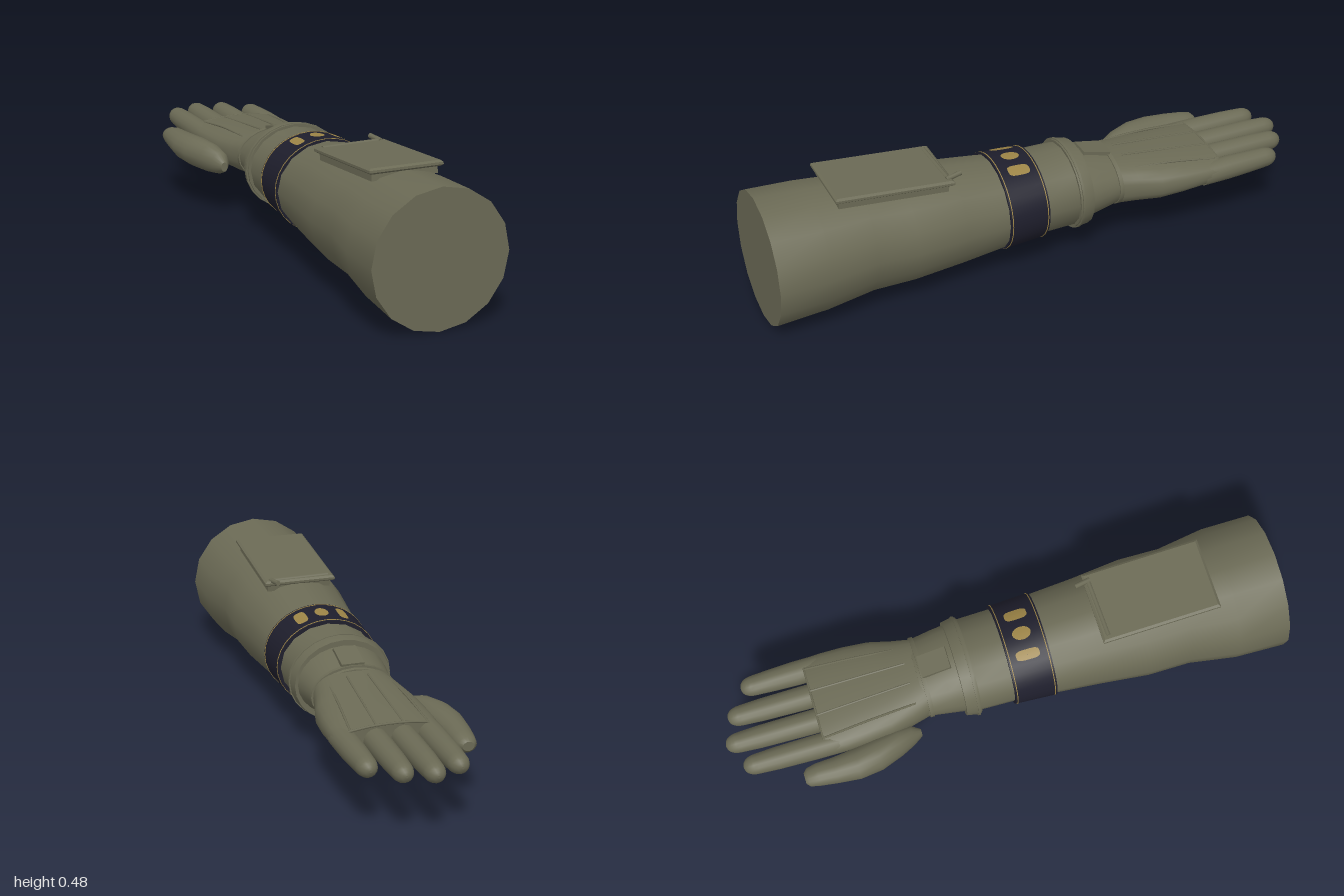
import * as THREE from 'three';

const olive = new THREE.MeshStandardMaterial({ name: 'olive cloth', color: 0x6b6a55 });
const navy = new THREE.MeshStandardMaterial({ name: 'navy band', color: 0x1e1e2c });
const gold = new THREE.MeshStandardMaterial({ name: 'gold trim', color: 0x9c8446, side: THREE.DoubleSide });

// Skin closed rings running towards -z. Each section is [z, xMin, xMax, yMin, yMax].
function loft(sections, sides = 16, power = 2) {
  const pos = [], index = [];
  const round = (v) => Math.sign(v) * Math.abs(v) ** (2 / power);
  const ring = ([z, x0, x1, y0, y1]) => {
    for (let j = 0; j < sides; j++) {
      const a = (j / sides) * Math.PI * 2;
      pos.push((x0 + x1) / 2 + ((x1 - x0) / 2) * round(Math.sin(a)),
        (y0 + y1) / 2 + ((y1 - y0) / 2) * round(Math.cos(a)), z);
    }
  };
  sections.forEach(ring);
  for (let i = 0; i < sections.length - 1; i++) {
    for (let j = 0; j < sides; j++) {
      const k = (j + 1) % sides, a = i * sides + j, b = i * sides + k;
      index.push(a, b, a + sides, b, b + sides, a + sides);
    }
  }
  // flat caps with their own vertices
  [sections[0], sections[sections.length - 1]].forEach((s, end) => {
    const start = pos.length / 3;
    ring(s);
    for (let j = 1; j < sides - 1; j++) {
      if (end) index.push(start, start + j, start + j + 1);
      else index.push(start, start + j + 1, start + j);
    }
  });
  const g = new THREE.BufferGeometry();
  g.setAttribute('position', new THREE.Float32BufferAttribute(pos, 3));
  g.setIndex(index);
  g.computeVertexNormals();
  return g;
}

export function createModel() {
  const model = new THREE.Group();
  model.name = 'glovedForearm';
  const add = (name, geometry, material = olive, parent = model) => {
    const mesh = new THREE.Mesh(geometry, material);
    mesh.name = name;
    parent.add(mesh);
    return mesh;
  };

  // Sleeve, tapering to the wrist
  add('sleeve', loft([
    [1, -0.215, 0.265, 0.002, 0.475],
    [0.82, -0.214, 0.263, 0.02, 0.465],
    [0.65, -0.188, 0.234, 0.04, 0.452],
    [0.5, -0.19, 0.238, 0.046, 0.44],
    [0.32, -0.171, 0.218, 0.058, 0.425],
    [0.16, -0.16, 0.207, 0.08, 0.403],
    [0, -0.148, 0.194, 0.098, 0.388],
    [-0.12, -0.146, 0.19, 0.1, 0.387],
  ]));

  // Dark wrist band with gold edging
  add('wristBand', loft([
    [0.16, -0.166, 0.213, 0.075, 0.409],
    [0.01, -0.159, 0.205, 0.086, 0.4],
  ], 32), navy);
  add('bandEdgeFront', loft([
    [0.154, -0.167, 0.214, 0.074, 0.41],
    [0.151, -0.167, 0.214, 0.074, 0.41],
  ], 32), gold);
  add('bandEdgeBack', loft([
    [0.019, -0.161, 0.207, 0.084, 0.402],
    [0.016, -0.161, 0.207, 0.084, 0.402],
  ], 32), gold);

  // Gold badges wrapped over the top of the band
  [[-0.42, 0.1, 0.042, 4], [0, 0.13, 0.033, 2], [0.42, 0.12, 0.04, 4]].forEach(([angle, w, h, power], n) => {
    const g = new THREE.RingGeometry(0.01, 1, 20, 3);
    const p = g.attributes.position;
    for (let i = 0; i < p.count; i++) {
      const u = p.getX(i), v = p.getY(i);
      const k = Math.hypot(u, v) / (Math.abs(u) ** power + Math.abs(v) ** power) ** (1 / power);
      const a = angle + u * k * w, z = 0.083 - v * k * h;
      const t = (z - 0.01) / 0.15;
      p.setXYZ(i, 0.023 + (0.184 + 0.007 * t) * Math.sin(a), 0.243 + (0.159 + 0.01 * t) * Math.cos(a), z);
    }
    g.computeVertexNormals();
    add('badge' + (n + 1), g, gold);
  });

  // Cuff ring, glove cuff and wrist strap
  add('cuffRing', loft([
    [-0.112, -0.155, 0.199, 0.09, 0.396],
    [-0.128, -0.157, 0.201, 0.088, 0.397],
    [-0.165, -0.15, 0.194, 0.092, 0.391],
  ], 24));
  add('cuffRidge', loft([
    [-0.118, -0.162, 0.205, 0.086, 0.399],
    [-0.127, -0.162, 0.205, 0.086, 0.399],
  ], 24));
  add('gloveCuff', loft([
    [-0.15, -0.138, 0.185, 0.115, 0.374],
    [-0.21, -0.13, 0.178, 0.13, 0.362],
    [-0.3, -0.118, 0.165, 0.155, 0.335],
  ], 24));
  add('wristSeam', loft([
    [-0.275, -0.126, 0.174, 0.147, 0.346],
    [-0.29, -0.126, 0.174, 0.147, 0.346],
  ], 24));
  const tab = add('wristTab', new THREE.BoxGeometry(0.08, 0.016, 0.105));
  tab.position.set(0.024, 0.356, -0.233);
  tab.rotation.x = -0.23;

  // Palm
  add('palm', loft([
    [-0.28, -0.114, 0.164, 0.157, 0.333],
    [-0.35, -0.132, 0.18, 0.158, 0.324],
    [-0.43, -0.15, 0.202, 0.16, 0.316],
    [-0.52, -0.157, 0.21, 0.171, 0.308],
    [-0.6, -0.159, 0.211, 0.183, 0.3],
    [-0.67, -0.155, 0.207, 0.197, 0.292],
  ], 32, 2.5));

  // Four fingers with rounded tips: [base x, tip x, tip z]
  const fingers = [[-0.116, -0.117, -0.96], [-0.024, -0.024, -1], [0.07, 0.07, -0.97], [0.168, 0.164, -0.9]];
  fingers.forEach(([bx, tx, tip], n) => {
    const row = (z, r) => {
      const t = (z + 0.6) / (tip + 0.6);
      const x = bx + (tx - bx) * t, y = 0.238 + 0.005 * t;
      return [z, x - r, x + r, y - r * 0.98, y + r * 0.98];
    };
    const sections = [row(-0.6, 0.043), row(-0.7, 0.043), row(tip + 0.12, 0.04)];
    for (let i = 0; i <= 5; i++) {
      const a = (i / 5) * 1.5;
      sections.push(row(tip + 0.05 - 0.05 * Math.sin(a), 0.036 * Math.cos(a) ** 0.8));
    }
    add('finger' + (n + 1), loft(sections, 16));
  });

  // Thumb, bulging beside the palm
  add('thumb', loft([
    [-0.335, -0.17, -0.145, 0.18, 0.215],
    [-0.37, -0.195, -0.125, 0.164, 0.245],
    [-0.42, -0.222, -0.128, 0.16, 0.265],
    [-0.5, -0.254, -0.14, 0.163, 0.273],
    [-0.58, -0.265, -0.155, 0.17, 0.27],
    [-0.66, -0.258, -0.165, 0.18, 0.264],
    [-0.72, -0.25, -0.168, 0.186, 0.258],
    [-0.755, -0.243, -0.176, 0.194, 0.25],
    [-0.768, -0.23, -0.19, 0.205, 0.238],
  ], 16));

  // Raised seams along the back of the hand and a knuckle seam
  const seam = (name, points) => add(name, new THREE.TubeGeometry(
    new THREE.CatmullRomCurve3(points.map((p) => new THREE.Vector3(...p))), 12, 0.004, 6));
  [[-0.085, -0.106], [-0.014, -0.022], [0.06, 0.07], [0.125, 0.157]].forEach(([x0, x1], n) => {
    const outer = n === 0 || n === 3;
    seam('handSeam' + (n + 1), [
      [x0, outer ? 0.307 : 0.326, -0.33],
      [(x0 + x1) / 2, outer ? 0.301 : 0.309, -0.5],
      [x1, outer ? 0.281 : 0.291, -0.67],
    ]);
  });
  seam('knuckleSeam', [[-0.112, 0.28, -0.67], [-0.03, 0.29, -0.67], [0.08, 0.29, -0.67], [0.163, 0.28, -0.67]]);

  // Tilted forearm pad with bevelled rim
  const pad = new THREE.Group();
  pad.name = 'forearmPad';
  pad.position.set(0.025, 0.448, 0.55);
  pad.rotation.x = -0.085;
  model.add(pad);
  const outline = new THREE.Shape();
  outline.moveTo(-0.123, -0.203).lineTo(0.123, -0.203).lineTo(0.123, 0.203).lineTo(-0.123, 0.203).closePath();
  const plate = new THREE.ExtrudeGeometry(outline, {
    depth: 0.008, bevelEnabled: true, bevelSize: 0.008, bevelThickness: 0.006, bevelSegments: 1,
  });
  plate.rotateX(-Math.PI / 2);
  add('padPlate', plate, olive, pad);
  const base = add('padBase', new THREE.BoxGeometry(0.235, 0.03, 0.39), olive, pad);
  base.position.y = -0.015;

  // Thin rod along the wrist end of the pad, with a bent tip
  const rod = (name, a, b, r) => {
    const from = new THREE.Vector3(...a), to = new THREE.Vector3(...b);
    const mesh = add(name, new THREE.CylinderGeometry(r, r, from.distanceTo(to), 8));
    mesh.position.copy(from).add(to).multiplyScalar(0.5);
    mesh.quaternion.setFromUnitVectors(new THREE.Vector3(0, 1, 0), to.sub(from).normalize());
  };
  rod('padRod', [-0.085, 0.442, 0.362], [0.135, 0.442, 0.355], 0.009);
  rod('padRodTip', [0.13, 0.444, 0.362], [0.118, 0.449, 0.305], 0.009);
  return model;
}
